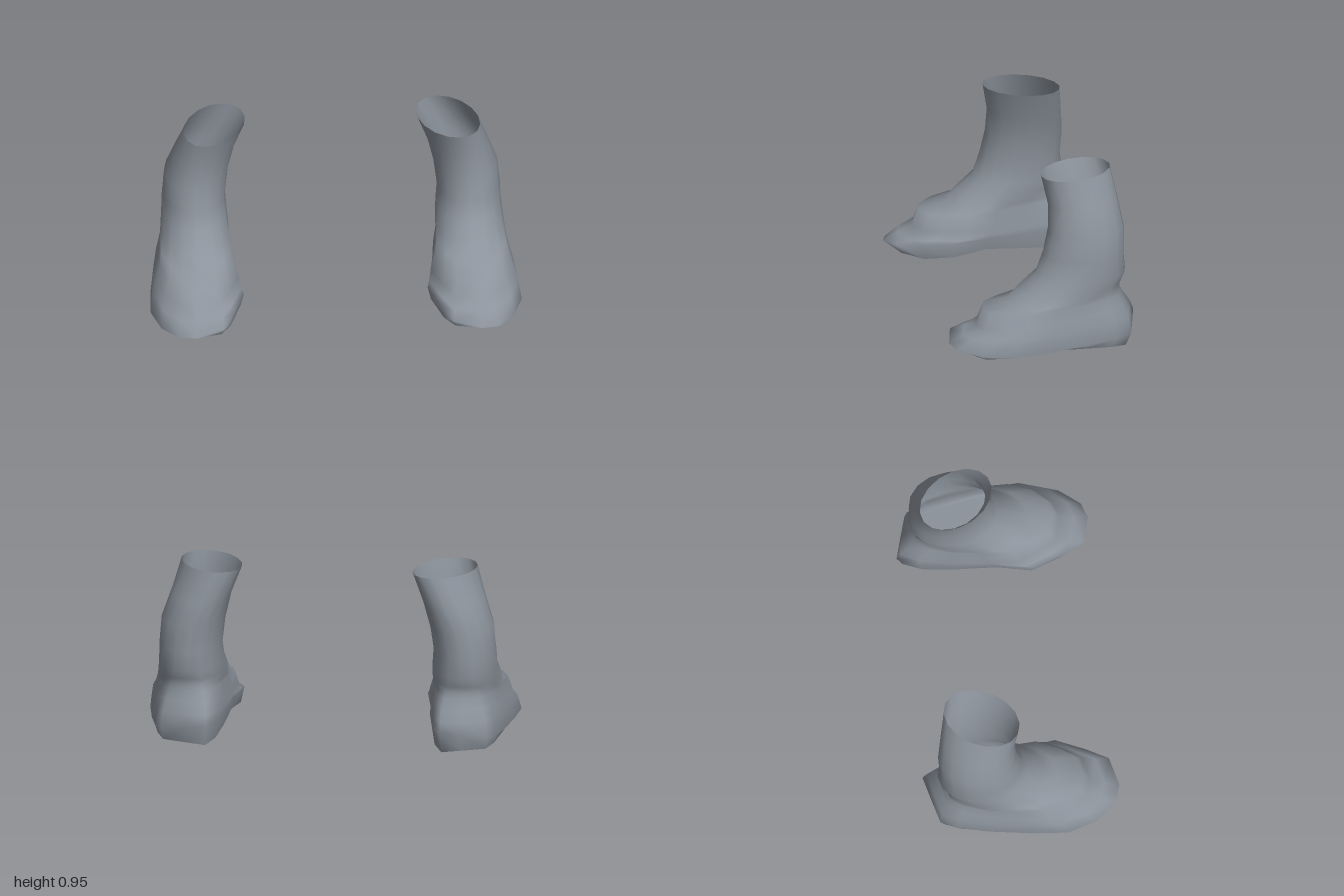
import * as THREE from 'three';

const N = 16; // points per ring, from the toe round the outer side

// Footprint of the left boot: [x, z]
const FOOTPRINT = [
  [0.77, 0.52], [0.86, 0.49], [0.95, 0.38], [1.0, 0.22],
  [0.985, 0.02], [0.955, -0.2], [0.92, -0.37], [0.88, -0.46],
  [0.74, -0.5], [0.63, -0.53], [0.58, -0.42], [0.55, -0.22],
  [0.53, 0], [0.495, 0.2], [0.56, 0.36], [0.62, 0.48],
];

// Rings upwards: y front, y back, z front, z back, x inner, x outer, roundness, skew
const RINGS = [
  [0.07, 0.1, 0.53, -0.53, 0.495, 1.0, 0, 0],
  [0.11, 0.17, 0.45, -0.51, 0.505, 0.985, 0, 0],
  [0.15, 0.235, 0.37, -0.47, 0.515, 0.965, 0.1, 0],
  [0.24, 0.29, 0.335, -0.445, 0.535, 0.945, 0.35, 0],
  [0.258, 0.32, 0.2, -0.437, 0.545, 0.935, 0.55, 0],
  [0.34, 0.35, 0.12, -0.435, 0.55, 0.925, 0.75, 0],
  [0.42, 0.405, 0.03, -0.46, 0.56, 0.915, 0.9, 0],
  [0.52, 0.5, -0.005, -0.45, 0.57, 0.91, 1, 0],
  [0.65, 0.65, -0.035, -0.455, 0.553, 0.897, 1, 0.05],
  [0.8, 0.78, -0.04, -0.437, 0.52, 0.85, 1, 0.15],
  [0.95, 0.95, -0.01, -0.41, 0.46, 0.8, 1, 0.3],
];

// Height of the underside along z
const SOLE = [[-0.53, 0], [-0.1, 0.045], [0, 0.055], [0.2, 0.035], [0.3, 0.01], [0.4, 0.03], [0.53, 0.06]];
function soleHeight(z) {
  const k = Math.max(1, SOLE.findIndex((p) => p[0] >= z));
  const [z0, y0] = SOLE[k - 1], [z1, y1] = SOLE[k];
  return THREE.MathUtils.lerp(y0, y1, (z - z0) / (z1 - z0));
}

const soleRing = FOOTPRINT.map(([x, z]) => {
  const sz = z * 0.94;
  return [0.75 + (x - 0.75) * 0.93, soleHeight(sz), sz];
});

function bootRing([yf, yb, zf, zb, xi, xo, round, skew], r) {
  return FOOTPRINT.map(([fx, fz], i) => {
    // blend the footprint outline into a skewed ellipse
    const a = (i / N) * Math.PI * 2;
    const u = THREE.MathUtils.lerp((fx - 0.495) / 0.505, 0.5 + 0.5 * Math.sin(a + skew), round);
    const v = THREE.MathUtils.lerp((fz + 0.53) / 1.06, 0.5 + 0.5 * Math.cos(a), round);
    const tilt = r === 0 ? (u - 0.5) * 0.08 : 0; // rim is lower on the outer side
    return [xi + (xo - xi) * u, yb + (yf - yb) * v - tilt, zb + (zf - zb) * v];
  });
}

// Geometry from points and triangles, optionally mirrored in x
function surface(points, tris, side) {
  const geo = new THREE.BufferGeometry();
  const pos = points.flatMap(([x, y, z]) => [x * side, y, z]);
  geo.setAttribute('position', new THREE.Float32BufferAttribute(pos, 3));
  geo.setIndex(tris.flatMap(([a, b, c]) => (side > 0 ? [a, b, c] : [a, c, b])));
  geo.computeVertexNormals();
  return geo;
}

function makeBoot(side, material) {
  const boot = new THREE.Group();
  boot.name = side > 0 ? 'leftBoot' : 'rightBoot';

  // Upper: skin over all rings, open at the top
  const rings = [soleRing, ...RINGS.map(bootRing)];
  const tris = [];
  for (let r = 0; r < rings.length - 1; r++) {
    for (let i = 0; i < N; i++) {
      const a = r * N + i, b = r * N + ((i + 1) % N);
      tris.push([a, b, b + N], [a, b + N, a + N]);
    }
  }
  const upper = new THREE.Mesh(surface(rings.flat(), tris, side), material);
  upper.name = 'upper';

  // Sole: strips across the foot from toe to heel
  const soleTris = [];
  for (let i = 0; i < N / 2; i++) {
    const a = i, b = i + 1, c = (N - i) % N, d = N - i - 1;
    if (a !== c) soleTris.push([a, c, b]);
    if (b !== d) soleTris.push([b, c, d]);
  }
  const sole = new THREE.Mesh(surface(soleRing, soleTris, side), material);
  sole.name = 'sole';

  boot.add(upper, sole);
  return boot;
}

export function createModel() {
  const leather = new THREE.MeshStandardMaterial({ color: 0x8c939c, side: THREE.DoubleSide });
  leather.name = 'greyLeather';
  const model = new THREE.Group();
  model.name = 'boots';
  model.add(makeBoot(1, leather), makeBoot(-1, leather));
  return model;
}
